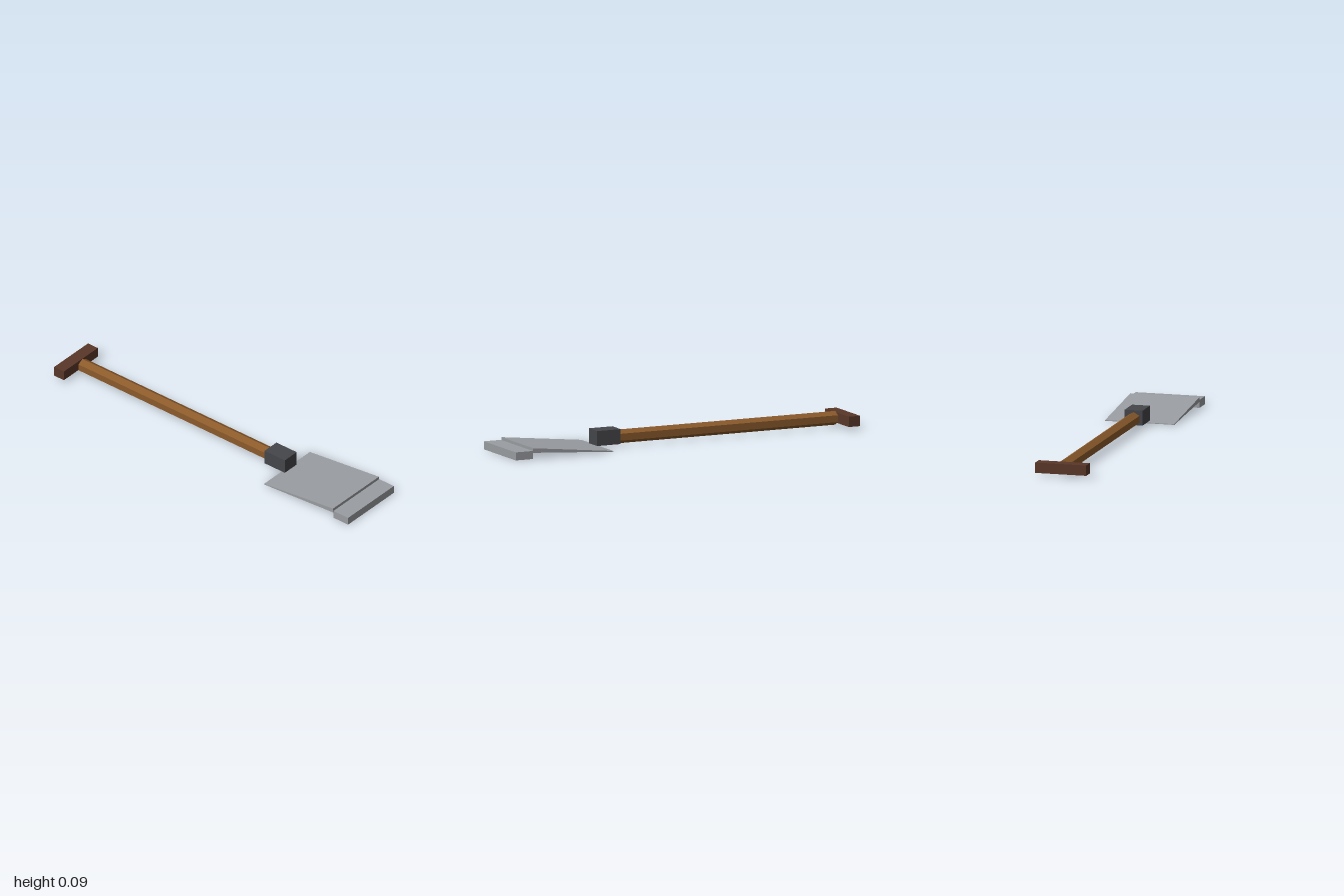
import * as THREE from 'three';

const material = (name, color) => {
  const m = new THREE.MeshStandardMaterial({ color, flatShading: true });
  m.name = name;
  return m;
};

export function createModel() {
  const group = new THREE.Group();
  group.name = 'shovel';
  const wood = material('wood', 0x8b5a2b);
  const darkWood = material('dark wood', 0x593728);
  const iron = material('dark iron', 0x45464b);
  const steel = material('steel', 0x9a9da1);

  const add = (name, geometry, mat) => {
    const mesh = new THREE.Mesh(geometry, mat);
    mesh.name = name;
    group.add(mesh);
  };
  // Box given by its limits in x and y, and its half depth in z
  const box = (x0, x1, y0, y1, halfZ) =>
    new THREE.BoxGeometry(x1 - x0, y1 - y0, halfZ * 2)
      .translate((x0 + x1) / 2, (y0 + y1) / 2, 0);

  // Six-sided shaft lying along x, with one edge on top
  const x0 = -0.925, x1 = 0.37;
  const shaft = new THREE.CylinderGeometry(0.036, 0.036, x1 - x0, 6)
    .rotateY(Math.PI / 2).rotateZ(-Math.PI / 2)
    .translate((x0 + x1) / 2, 0.044, 0);
  add('shaft', shaft, wood);

  add('crossGrip', box(-1, -0.935, 0.016, 0.07, 0.137), darkWood);
  add('collar', box(0.33, 0.465, 0.012, 0.09, 0.048), iron);

  // Wedge-shaped blade rising towards the tip
  const profile = new THREE.Shape([
    [0.44, 0.002], [0.9, 0.032], [0.9, 0.056], [0.44, 0.006],
  ].map(([x, y]) => new THREE.Vector2(x, y)));
  const blade = new THREE.ExtrudeGeometry(profile, { depth: 0.37, bevelEnabled: false })
    .translate(0, 0, -0.185);
  add('blade', blade, steel);

  // Straight cutting lip at the tip
  add('bladeLip', box(0.902, 1, 0, 0.042, 0.185), steel);

  return group;
}
